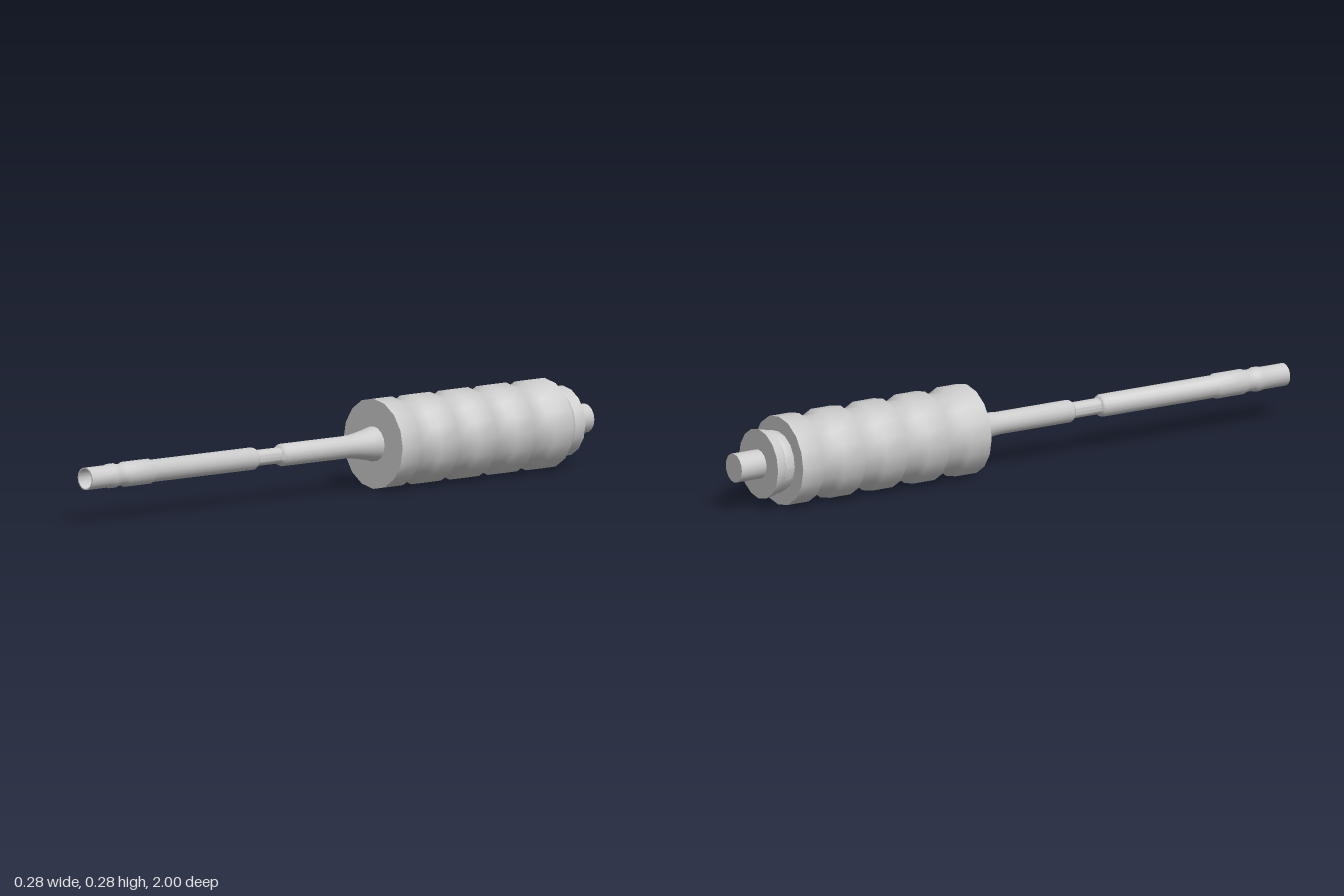
import * as THREE from 'three';
import { toCreasedNormals } from 'three/addons/utils/BufferGeometryUtils.js';

const SIDES = 16;
const AXIS_HEIGHT = 0.14;

export function createModel() {
  const group = new THREE.Group();
  const material = new THREE.MeshStandardMaterial({ color: 0xcccccc });

  // Turned part: profile of [radius, z], running from back to front
  function turned(name, profile, crease) {
    const points = profile.map(([r, z]) => new THREE.Vector2(r, z));
    const geometry = new THREE.LatheGeometry(points, SIDES).rotateX(Math.PI / 2);
    const mesh = new THREE.Mesh(toCreasedNormals(geometry, crease), material);
    mesh.name = name;
    mesh.position.y = AXIS_HEIGHT;
    group.add(mesh);
  }

  // Shaft with flared root, narrow neck, collars and a hollow tip
  turned('shaft', [
    [0.054, -0.155], [0.054, -0.15], [0.047, -0.122], [0.041, -0.09], [0.037, -0.065], [0.035, -0.04],
    [0.035, 0.215], [0.032, 0.222], [0.025, 0.228],
    [0.025, 0.322], [0.032, 0.327], [0.035, 0.334],
    [0.035, 0.74], [0.039, 0.748], [0.039, 0.845], [0.034, 0.857],
    [0.034, 0.878], [0.038, 0.887], [0.038, 0.905], [0.035, 0.914],
    [0.035, 1], [0.031, 1], [0.031, 0.88], [0, 0.88],
  ], 0.6);

  // Grip with five raised bands separated by grooves
  const bands = 5, pitch = 0.1525, bandLength = 0.075;
  const back = -0.838;
  const grip = [[0, back]];
  for (let i = 0; i < bands; i++) {
    const z = back + i * pitch;
    if (i > 0) grip.push([0.124, z - 0.014]);
    grip.push([0.139, z], [0.139, z + bandLength]);
    if (i < bands - 1) grip.push([0.124, z + bandLength + 0.014]);
  }
  grip.push([0, back + (bands - 1) * pitch + bandLength]);
  turned('grip', grip, 0.9);

  // Flared end cap with a small step
  turned('endCap', [
    [0, -0.91], [0.109, -0.91], [0.102, -0.876], [0.097, -0.872],
    [0.099, -0.86], [0.091, -0.835], [0, -0.835],
  ], 0.6);

  // Rear stub
  turned('rearStub', [[0, -1], [0.045, -1], [0.045, -0.9], [0, -0.9]], 0.6);

  return group;
}
